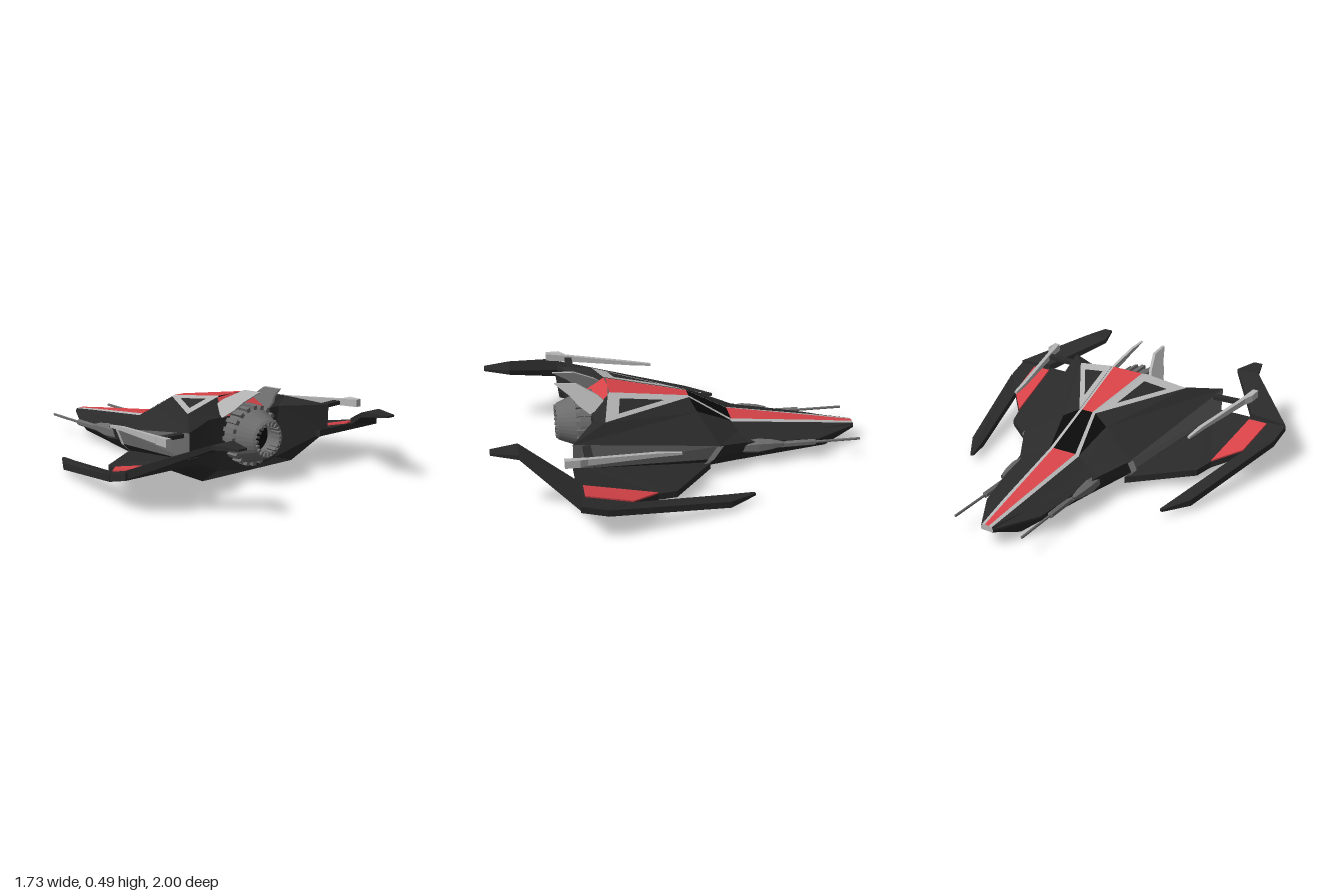
import * as THREE from 'three';

const mat = (color) => new THREE.MeshStandardMaterial({ color, flatShading: true, side: THREE.DoubleSide });
const dark = mat(0x2a2a2a), black = mat(0x0a0a0a), mid = mat(0x6c6c6c), light = mat(0xb4b4b4), red = mat(0xd84348);

function mesh(name, geometry, material) {
  const m = new THREE.Mesh(geometry, material);
  m.name = name;
  return m;
}

// Triangles from a flat list of [x, y, z] corners
function faces(name, pts, material) {
  const g = new THREE.BufferGeometry();
  g.setAttribute('position', new THREE.Float32BufferAttribute(pts.flat(), 3));
  g.computeVertexNormals();
  return mesh(name, g, material);
}

// Skin between two lengthwise rails, over the stations from..to
function strip(name, p, q, material, from = 0, to = p.length - 1) {
  const pts = [];
  for (let i = from; i < to; i++) {
    pts.push(p[i], p[i + 1], q[i + 1], p[i], q[i + 1], q[i]);
  }
  return faces(name, pts, material);
}

// Plate with the given top corners [x, y, z, thickness]
function slab(name, corners, material) {
  const flat = (c) => c.map((p) => new THREE.Vector2(p[0], -p[2]));
  let c = corners;
  if (THREE.ShapeUtils.isClockWise(flat(c))) c = [...c].reverse();
  const top = c.map((p) => p.slice(0, 3));
  const bot = c.map((p) => [p[0], p[1] - p[3], p[2]]);
  const pts = [];
  for (const [i, j, k] of THREE.ShapeUtils.triangulateShape(flat(c), [])) {
    pts.push(top[i], top[j], top[k], bot[k], bot[j], bot[i]);
  }
  for (let i = 0; i < c.length; i++) {
    const j = (i + 1) % c.length;
    pts.push(top[i], bot[i], bot[j], top[i], bot[j], top[j]);
  }
  return faces(name, pts, material);
}

const raise = (pts, d) => pts.map(([x, y, z]) => [x, y + d, z]);

// Hull rails, nose to tail, from the spine round to the keel
const inner = [[0.012, 0.113, -1], [0.03, 0.147, -0.77], [0.068, 0.212, -0.3], [0.032, 0.352, -0.07], [0.09, 0.43, 0.36]];
const middle = inner.map(([, y, z]) => [0, y, z]);
const spine = [[0.03, 0.11, -1], [0.052, 0.143, -0.77], [0.09, 0.205, -0.3], [0.05, 0.346, -0.07], [0.108, 0.425, 0.37]];
const shoulder = [[0.035, 0.1, -1], [0.1, 0.125, -0.77], [0.15, 0.18, -0.32], [0.135, 0.3, -0.1], [0.34, 0.378, 0.41]];
const edge = [[0.036, 0.095, -1], [0.165, 0.1, -0.77], [0.24, 0.15, -0.36], [0.33, 0.19, -0.19], [0.48, 0.34, 0.59]];
const lower = [[0.036, 0.088, -1], [0.165, 0.088, -0.77], [0.23, 0.1, -0.36], [0.32, 0.11, -0.15], [0.475, 0.2, 0.59]];
const chine = [[0.03, 0.082, -1], [0.08, 0.015, -0.83], [0.17, 0.01, -0.3], [0.22, 0.005, -0.03], [0.31, 0.045, 0.49]];
const keel = [[0, 0.082, -1], [0, 0.013, -0.85], [0, 0.01, -0.3], [0, 0, 0], [0, 0.045, 0.49]];

function hullHalf() {
  const g = new THREE.Group();
  g.name = 'hullHalf';
  g.add(
    strip('noseStripe', middle, inner, red, 0, 2),
    strip('canopyTop', middle, inner, black, 2, 3),
    strip('spineStripe', middle, inner, red, 3, 4),
    strip('spineTrim', inner, spine, light),
    strip('upperHull', spine, shoulder, dark),
    strip('topDeck', shoulder, edge, dark),
    strip('noseSide', edge, lower, dark, 0, 3),
    strip('sidePanel', edge, lower, mid, 3, 4),
    strip('lowerHull', lower, chine, dark),
    strip('belly', chine, keel, dark),
  );
  // Canopy side window
  g.add(faces('canopySide', raise([spine[2], spine[3], shoulder[3]], 0.003), black));
  // Triangular deck marking: pale frame with a dark inset
  const tri = [spine[3], spine[4], shoulder[4]];
  const mean = [0, 1, 2].map((k) => (tri[0][k] + tri[1][k] + tri[2][k]) / 3);
  const inset = tri.map((p) => p.map((v, k) => mean[k] + (v - mean[k]) * 0.55));
  g.add(faces('deckFrame', raise(tri, 0.003), light), faces('deckInset', raise(inset, 0.006), dark));
  // Pale rib at the front of the side panel
  const rib = [[0.325, 0.19, -0.21], [0.335, 0.19, -0.17], [0.33, 0.11, -0.12], [0.32, 0.11, -0.16], [0.275, 0.05, -0.1], [0.265, 0.05, -0.13]];
  const ribFaces = [0, 1, 2, 0, 2, 3, 3, 2, 4, 3, 4, 5];
  g.add(faces('sideRib', ribFaces.map((i) => [rib[i][0] + 0.006, rib[i][1], rib[i][2]]), light));
  // Tail closure
  const r = [0.15, 0.345, 0.46], r0 = [0, 0.345, 0.46], s = [0.24, 0.345, 0.46], h = [0.2, 0.08, 0.48];
  const [a, b, c, d, e, k] = [spine, shoulder, edge, lower, chine, keel].map((rail) => rail[4]);
  g.add(faces('tailSlope', [middle[4], r0, r, middle[4], r, a], red));
  g.add(faces('tail', [
    a, r, b, r, s, b, s, c, b,
    s, h, d, s, d, c, h, e, d, r0, k, h, k, e, h, r0, h, s,
  ], dark));
  // Nose closure
  const n = [middle, keel, chine, lower, edge, shoulder, spine, inner].map((rail) => rail[0]);
  const nose = [];
  for (let i = 1; i < n.length - 1; i++) nose.push(n[0], n[i + 1], n[i]);
  g.add(faces('noseTip', nose, light));
  return g;
}

function wing() {
  const g = new THREE.Group();
  g.name = 'wing';
  // Wing surface drops toward the front
  const wy = (z) => (z > 0.2 ? 0.105 + 0.27 * (z - 0.2) : 0.105 - 0.11 * (0.2 - z));
  const at = (list, t, lift = 0) => list.map(([x, z]) => [x, wy(z) + lift, z, z < -0.3 ? 0.012 : t]);
  g.add(slab('wingPlate', at([[0.28, -0.15], [0.59, 0.08], [0.62, 0.18], [0.74, 0.32], [0.86, 0.46], [0.865, 0.59], [0.42, 0.59]], 0.035), dark));
  g.add(slab('forwardProng', at([[0.74, 0.32], [0.615, -0.18], [0.585, -0.32], [0.6, -0.325], [0.69, -0.18], [0.862, 0.46]], 0.035), dark));
  g.add(slab('wingPanel', at([[0.62, 0.18], [0.74, 0.32], [0.765, 0.56], [0.66, 0.56]], 0.008, 0.008), red));
  // Rear claw sweeping up and inward
  g.add(slab('rearClawArm', [[0.865, 0.22, 0.58, 0.045], [0.57, 0.352, 0.86, 0.025], [0.44, 0.352, 0.86, 0.025], [0.665, 0.235, 0.58, 0.04]], dark));
  g.add(slab('rearClawTip', [[0.57, 0.352, 0.86, 0.025], [0.53, 0.352, 1, 0.01], [0.48, 0.352, 1, 0.01], [0.44, 0.352, 0.86, 0.025]], dark));
  // Pale rail above the wing, braced to the hull
  g.add(slab('wingRail', [
    [0.54, 0.29, 0.05, 0.012], [0.556, 0.29, 0.05, 0.012], [0.572, 0.305, 0.16, 0.02], [0.642, 0.34, 0.53, 0.035],
    [0.668, 0.352, 0.57, 0.04], [0.668, 0.352, 0.645, 0.04], [0.636, 0.352, 0.645, 0.04], [0.62, 0.34, 0.53, 0.035], [0.55, 0.305, 0.16, 0.02],
  ], light));
  g.add(slab('railBrace', [[0.45, 0.325, 0.5, 0.02], [0.63, 0.33, 0.5, 0.02], [0.635, 0.33, 0.54, 0.02], [0.45, 0.325, 0.54, 0.02]], dark));
  return g;
}

// Lathe turned so its axis runs along z
function lathe(name, profile, sides, material) {
  const m = mesh(name, new THREE.LatheGeometry(profile.map(([r, z]) => new THREE.Vector2(r, z)), sides), material);
  m.rotation.x = Math.PI / 2;
  return m;
}

function gun() {
  const g = new THREE.Group();
  g.name = 'gun';
  const pod = lathe('gunPod', [[0.012, -0.56], [0.03, -0.5], [0.042, -0.42], [0.035, -0.34], [0, -0.25]], 6, mid);
  const barrel = lathe('gunBarrel', [[0, -0.745], [0.018, -0.74], [0.02, -0.5]], 6, mid);
  const rod = lathe('gunRod', [[0, -0.99], [0.008, -0.99], [0.008, -0.74]], 6, mid);
  g.add(pod, barrel, rod);
  g.scale.x = 0.8;
  g.position.set(0.198, 0.1, 0);
  pod.position.set(0.025, 0.015, 0);
  return g;
}

// Swept tail fin leaning inward
function fin() {
  const shape = new THREE.Shape([[0.38, 0.39], [0.42, 0.425], [0.53, 0.485], [0.645, 0.492], [0.57, 0.435], [0.53, 0.39], [0.47, 0.345]]
    .map(([z, y]) => new THREE.Vector2(z, y)));
  const geo = new THREE.ExtrudeGeometry(shape, { depth: 0.016, bevelEnabled: false });
  const p = geo.attributes.position;
  for (let i = 0; i < p.count; i++) {
    const z = p.getX(i), y = p.getY(i), t = p.getZ(i);
    p.setXYZ(i, 0.165 - (y - 0.345) * 0.6 - t, y, z);
  }
  geo.computeVertexNormals();
  return mesh('tailFin', geo, light);
}

function engine() {
  const g = new THREE.Group();
  g.name = 'engine';
  g.add(lathe('engineShell', [[0.13, 0.42], [0.145, 0.45], [0.145, 0.52], [0.1, 0.63], [0.09, 0.64], [0.08, 0.63], [0.078, 0.55]], 32, mid));
  g.add(lathe('engineCore', [[0.08, 0.55], [0, 0.54]], 32, black));
  const teeth = (name, count, r, z, size) => {
    for (let i = 0; i < count; i++) {
      const a = (i / count) * Math.PI * 2;
      const t = mesh(name, new THREE.BoxGeometry(...size), mid);
      t.position.set(Math.cos(a) * r, Math.sin(a) * r, z);
      t.rotation.z = a;
      g.add(t);
    }
  };
  teeth('outerTooth', 20, 0.145, 0.49, [0.025, 0.022, 0.1]);
  teeth('innerTooth', 20, 0.08, 0.615, [0.02, 0.012, 0.06]);
  g.position.y = 0.238;
  return g;
}

export function createModel() {
  const model = new THREE.Group();
  model.name = 'spacecraft';
  // Each side is built once and mirrored
  for (const side of [1, -1]) {
    const half = new THREE.Group();
    half.name = side > 0 ? 'leftSide' : 'rightSide';
    half.add(hullHalf(), wing(), gun(), fin());
    half.scale.x = side;
    model.add(half);
  }
  model.add(engine());
  return model;
}
